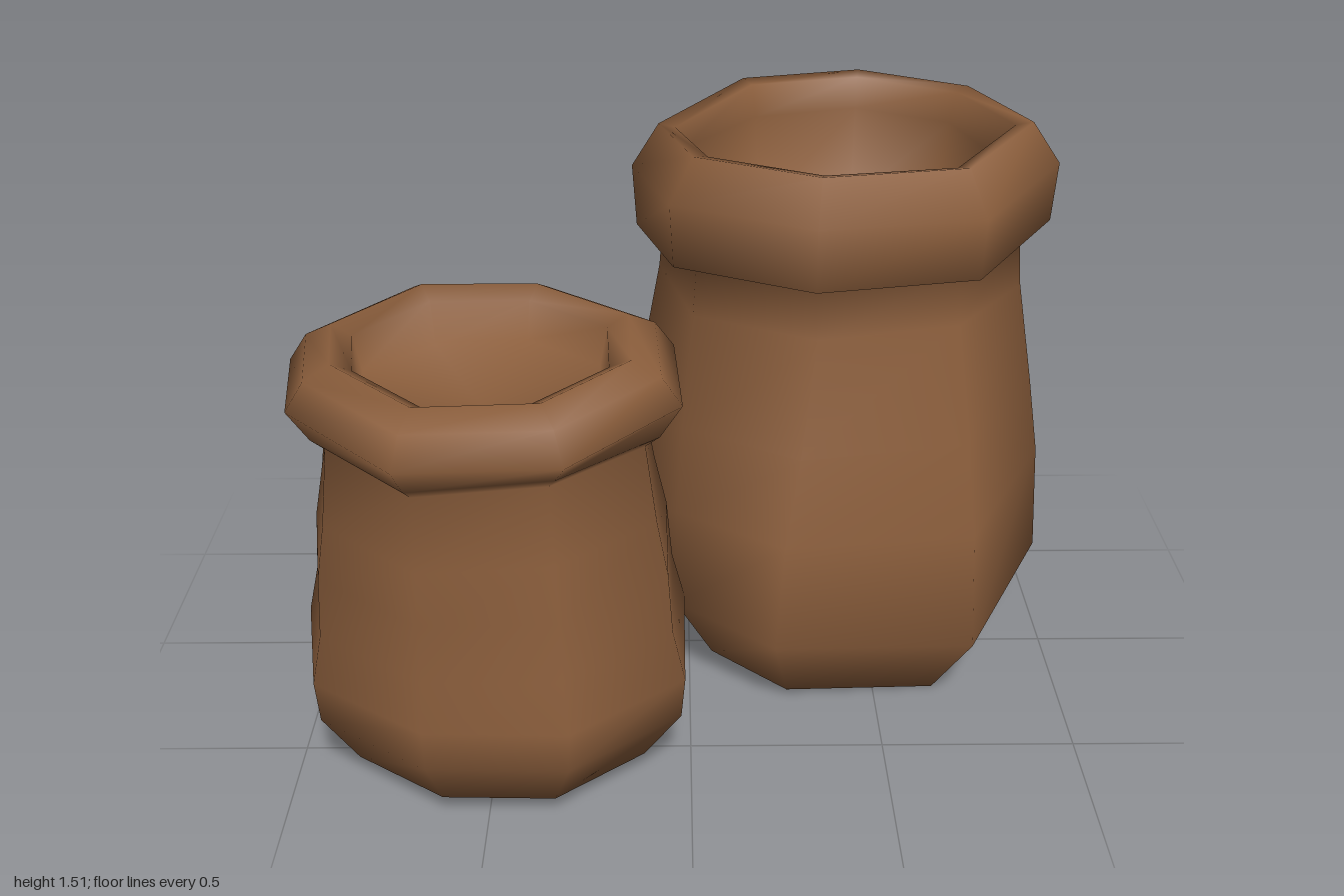
import * as THREE from 'three';

// Loft of octagonal rings from the base, up the outside, over the rolled rim and down inside.
// Each ring: [y, blend from belly to rim outline, scale, tilt along x, tilt along z]
function sackGeometry(belly, rim, rings, floorY, baseY) {
  const n = belly.length;
  const mid = (o) => {
    const c = [0, 1].map((k) => {
      const v = o.map((p) => p[k]);
      return (Math.min(...v) + Math.max(...v)) / 2;
    });
    return c;
  };
  const cb = mid(belly), cr = mid(rim);
  const mix = THREE.MathUtils.lerp;
  const pos = [], idx = [];
  rings.forEach(([y, t, s, tx = 0, tz = 0, wave = 0]) => {
    const cx = mix(cb[0], cr[0], t), cz = mix(cb[1], cr[1], t);
    for (let i = 0; i < n; i++) {
      const dx = (mix(belly[i][0], rim[i][0], t) - cx) * s;
      const dz = (mix(belly[i][1], rim[i][1], t) - cz) * s;
      pos.push(cx + dx, y + tx * dx + tz * dz + wave * Math.sin(i * 2.3), cz + dz);
    }
  });
  for (let r = 0; r < rings.length - 1; r++) {
    for (let i = 0; i < n; i++) {
      const j = (i + 1) % n;
      const a = r * n + i, b = r * n + j, c = a + n, d = b + n;
      idx.push(a, b, d, a, d, c);
    }
  }
  // Closed base and the floor inside the mouth
  const base = pos.length / 3, last = (rings.length - 1) * n;
  pos.push(cb[0], baseY, cb[1], cr[0], floorY, cr[1]);
  for (let i = 0; i < n; i++) {
    const j = (i + 1) % n;
    idx.push(base, j, i, base + 1, last + i, last + j);
  }
  const g = new THREE.BufferGeometry();
  g.setAttribute('position', new THREE.Float32BufferAttribute(pos, 3));
  g.setIndex(idx);
  g.computeVertexNormals();
  return g;
}

export function createModel() {
  const group = new THREE.Group();
  const burlap = new THREE.MeshStandardMaterial({ color: 0x8b5e3c });
  burlap.name = 'burlap brown';
  const add = (name, geometry) => {
    const m = new THREE.Mesh(geometry, burlap);
    m.name = name;
    group.add(m);
  };

  // Tall sack, sagging towards the back
  add('largeSack', sackGeometry(
    [[0.43, -0.95], [-0.01, -0.71], [-0.19, -0.31], [-0.04, 0.22],
      [0.22, 0.43], [0.74, 0.38], [1.0, -0.18], [0.82, -0.78]],
    [[0.5, -0.74], [0.12, -0.62], [-0.15, -0.24], [-0.05, 0.18],
      [0.3, 0.37], [0.72, 0.26], [0.95, -0.06], [0.83, -0.54]],
    [
      [0.05, 0, 0.77, -0.05, -0.06],
      [0.25, 0, 1, -0.05, 0],
      [0.54, 0.2, 0.98],
      [0.77, 0.6, 0.94],
      [1.07, 1, 0.87],
      [1.21, 1, 0.85],
      [1.22, 1, 0.98, 0.03, 0, 0.02],
      [1.38, 1, 1, 0.02, 0, 0.02],
      [1.49, 1, 0.87, 0.02, 0, 0.015],
      [1.48, 1, 0.79, 0.02, 0, 0.015],
      [1.4, 1, 0.75],
      [1.15, 1, 0.68],
    ], 1.02, 0.04));

  // Short sack
  add('smallSack', sackGeometry(
    [[-0.4, 0.06], [-0.85, 0.04], [-1.0, 0.3], [-0.93, 0.65],
      [-0.64, 0.86], [-0.29, 0.87], [-0.015, 0.64], [-0.015, 0.24]],
    [[-0.35, -0.02], [-0.73, 0.01], [-0.99, 0.28], [-0.93, 0.65],
      [-0.65, 0.94], [-0.28, 0.88], [-0.02, 0.64], [-0.04, 0.23]],
    [
      [0.06, 0, 0.79],
      [0.2, 0, 0.98],
      [0.31, 0, 1],
      [0.44, 0.1, 0.94],
      [0.6, 0.3, 0.92],
      [0.74, 0.6, 0.87],
      [0.94, 1, 0.82],
      [0.97, 1, 0.89],
      [1.04, 1, 1, 0, 0, 0.02],
      [1.11, 1, 0.9, 0, 0, 0.015],
      [1.145, 1, 0.76, 0, 0, 0.012],
      [1.12, 1, 0.65, 0, 0, 0.01],
      [1.02, 1, 0.61],
    ], 0.98, 0.06));

  return group;
}
